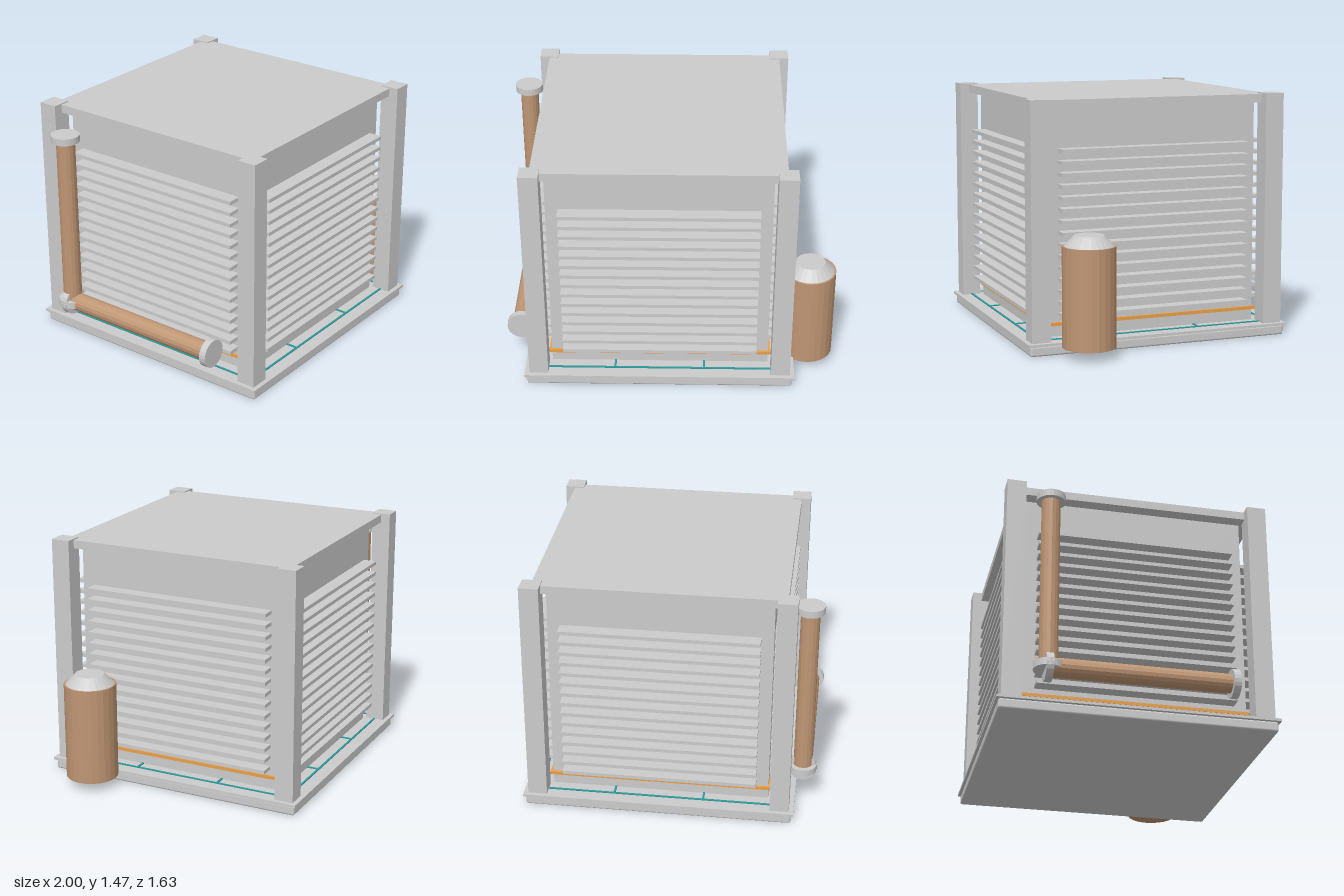
import * as THREE from 'three';
import { RoundedBoxGeometry } from 'three/addons/geometries/RoundedBoxGeometry.js';

const mat = (color, flatShading = false) => new THREE.MeshStandardMaterial({ color, flatShading });
const grey = mat(0xcccccc), greyFlat = mat(0xcccccc, true);
const copper = mat(0xbf9674, true), orange = mat(0xe8a04c), teal = mat(0x2f9a9c);

function add(parent, name, geometry, material, x = 0, y = 0, z = 0) {
  const mesh = new THREE.Mesh(geometry, material);
  mesh.name = name;
  mesh.position.set(x, y, z);
  parent.add(mesh);
  return mesh;
}
const box = (w, h, d) => new THREE.BoxGeometry(w, h, d);
const cyl = (rTop, rBottom, h, n = 24) => new THREE.CylinderGeometry(rTop, rBottom, h, n);

// Straight pipe along y, with a flange at each end
function flangedPipe(name, length) {
  const pipe = new THREE.Group();
  pipe.name = name;
  add(pipe, 'pipe', cyl(0.056, 0.056, length, 16), copper);
  for (const s of [-1, 1]) add(pipe, 'flange', cyl(0.085, 0.085, 0.042), greyFlat, 0, s * length / 2, 0);
  return pipe;
}

export function createModel() {
  const model = new THREE.Group();
  model.name = 'coolingUnit';

  // Square housing, set off centre because of the tank and pipes
  const unit = new THREE.Group();
  unit.name = 'housing';
  unit.position.x = -0.061;
  model.add(unit);

  add(unit, 'base', new RoundedBoxGeometry(1.606, 0.06, 1.606, 2, 0.012), grey, 0, 0.03, 0);
  add(unit, 'basePlate', box(1.634, 0.016, 1.634), grey, 0, 0.067, 0);
  add(unit, 'body', box(1.316, 1.331, 1.316), grey, 0, 0.7405, 0);
  add(unit, 'lightStrip', box(1.346, 0.02, 1.346), orange, 0, 0.15, 0);
  add(unit, 'roof', box(1.464, 0.05, 1.464), grey, 0, 1.433, 0);

  for (const x of [-0.732, 0.732])
    for (const z of [-0.732, 0.732])
      add(unit, 'cornerPost', box(0.115, 1.39, 0.115), grey, x, 0.77, z);

  // Louvres and floor lines, the same on all four sides
  for (let i = 0; i < 4; i++) {
    const side = new THREE.Group();
    side.name = 'side';
    side.rotation.y = i * Math.PI / 2;
    unit.add(side);
    for (let k = 0; k < 15; k++)
      add(side, 'louvre', box(1.17, 0.022, 0.09), grey, 0, 0.207 + k * 0.0684, 0.696);
    add(side, 'floorLine', box(1.35, 0.006, 0.012), teal, 0, 0.078, 0.731);
    for (const x of [-0.27, 0.27])
      add(side, 'floorLineBranch', box(0.012, 0.006, 0.075), teal, x, 0.078, 0.695);
  }

  // Tank on the left side
  const tank = new THREE.Group();
  tank.name = 'tank';
  tank.position.set(0.843, 0, 0.484);
  model.add(tank);
  add(tank, 'tankBody', cyl(0.156, 0.156, 0.585), copper, 0, 0.3525, 0);
  add(tank, 'tankCap', cyl(0.087, 0.145, 0.06), greyFlat, 0, 0.675, 0);

  // Pipes on the right side, meeting at the lower back corner
  const riser = flangedPipe('riserPipe', 1.075);
  riser.position.set(-0.915, 0.783, -0.54);
  const floorPipe = flangedPipe('lowerPipe', 1.07);
  floorPipe.position.set(-0.915, 0.245, -0.005);
  floorPipe.rotation.x = Math.PI / 2;
  model.add(riser, floorPipe);

  return model;
}
